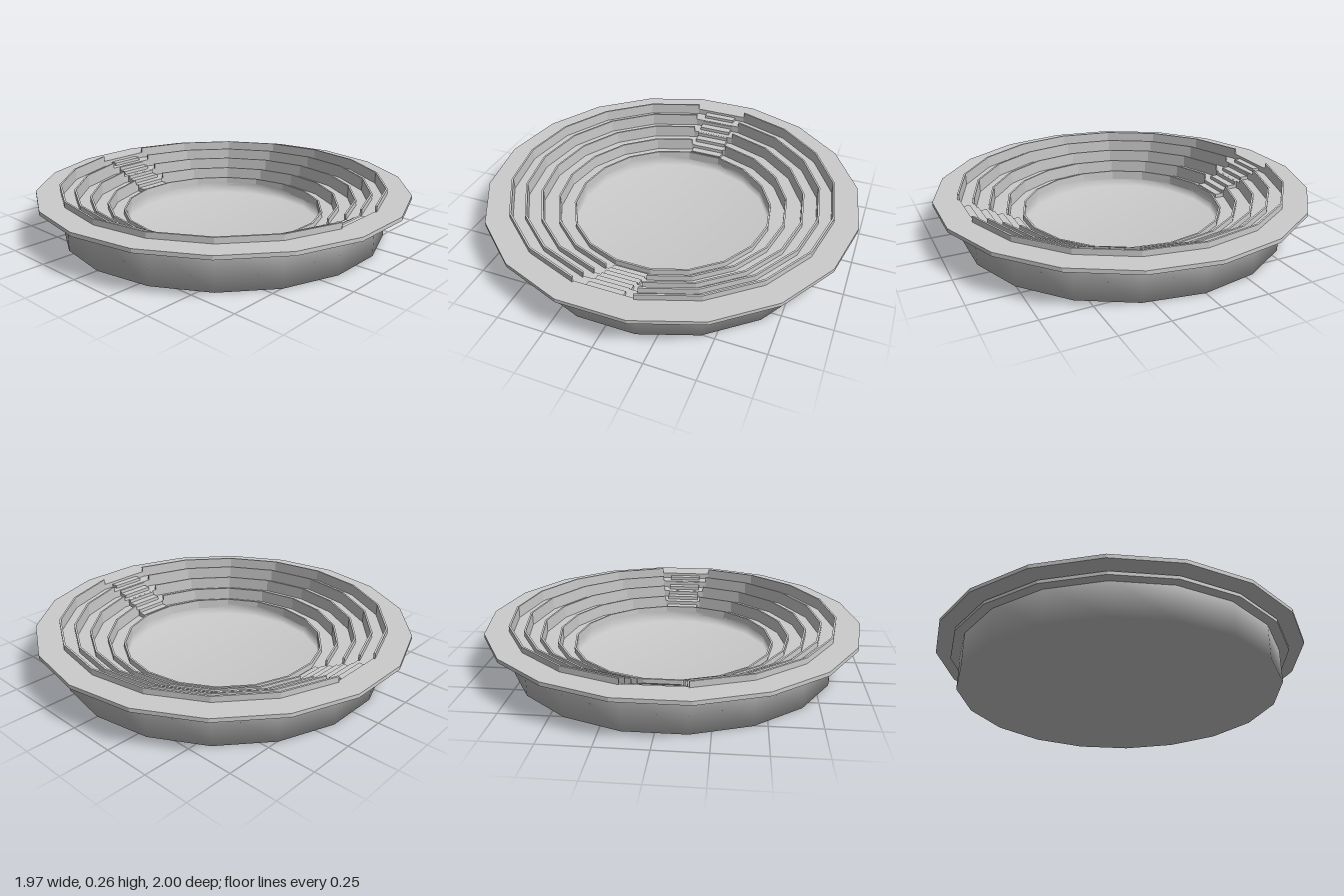
import * as THREE from 'three';

const SIDES = 18;
const STEP = (Math.PI * 2) / SIDES;
const grey = new THREE.MeshStandardMaterial({ color: 0xcccccc, side: THREE.DoubleSide });

// Points on an 18-sided circle; vertex 0 lies on the z axis
function arc(r, first, last) {
  const pts = [];
  const dir = Math.sign(last - first);
  for (let i = first; i !== last + dir; i += dir) {
    pts.push(new THREE.Vector2(r * Math.sin(i * STEP), r * Math.cos(i * STEP)));
  }
  return pts;
}

function extrudeUp(shape, y0, y1) {
  const geo = new THREE.ExtrudeGeometry(shape, { depth: y1 - y0, bevelEnabled: false });
  return geo.rotateX(-Math.PI / 2).translate(0, y0, 0);
}

// Full flat-sided ring
function ring(rIn, rOut, y0, y1) {
  const shape = new THREE.Shape(arc(rOut, 0, SIDES - 1));
  shape.holes.push(new THREE.Path(arc(rIn, 0, SIDES - 1)));
  return extrudeUp(shape, y0, y1);
}

// Part of a ring between two of its corners
function ringPart(rIn, rOut, y0, y1, first, last) {
  const shape = new THREE.Shape([...arc(rOut, first, last), ...arc(rIn, last, first)]);
  return extrudeUp(shape, y0, y1);
}

export function createModel() {
  const model = new THREE.Group();
  const add = (name, geo, parent = model) => {
    const mesh = new THREE.Mesh(geo, grey);
    mesh.name = name;
    parent.add(mesh);
    return mesh;
  };
  const lathe = (pts) => new THREE.LatheGeometry(pts.map((p) => new THREE.Vector2(...p)), SIDES);

  // Smooth outer shell and sunken arena floor
  add('outerShell', lathe([[0, 0], [0.87, 0], [0.87, 0.2]]));
  add('arenaFloor', lathe([[0.535, 0.075], [0.535, 0.01], [0, 0.01]]));

  // Terraces, from the rim inward: inner radius, outer radius, underside, top
  const tiers = [
    [0.865, 1.0, 0.21, 0.23],
    [0.79, 0.92, 0.18, 0.198],
    [0.71, 0.81, 0.115, 0.157],
    [0.62, 0.73, 0.075, 0.117],
    [0.535, 0.64, 0.055, 0.077],
  ];
  add('rimRiser', ring(0.865, 0.875, 0.195, 0.215));
  add('upperRiser', ring(0.79, 0.8, 0.15, 0.185));

  const railHeight = 0.03;
  const railWidth = 0.01;
  tiers.forEach(([rIn, rOut, y0, y1], i) => {
    const tier = new THREE.Group();
    tier.name = 'tier' + (i + 1);
    model.add(tier);
    add('terrace', ring(rIn, rOut, y0, y1), tier);

    // Parapets leave the two side facets open for the stairs
    const top = y1 + railHeight;
    if (i < tiers.length - 1) {
      add('frontParapet', ringPart(rIn, rIn + railWidth, y1, top, 5, 13), tier);
      add('backParapet', ringPart(rIn, rIn + railWidth, y1, top, -4, 4), tier);
    } else {
      add('arenaParapet', ring(rIn, rIn + railWidth, y1, top), tier);
    }
  });

  // Stairs down both sides
  const steps = 7;
  const xTop = 0.855, xEnd = 0.56;
  const run = (xTop - xEnd) / steps;
  for (const side of [1, -1]) {
    const stair = new THREE.Group();
    stair.name = side > 0 ? 'leftStair' : 'rightStair';
    model.add(stair);
    for (let i = 0; i < steps; i++) {
      const y = 0.215 - i * 0.0195;
      const geo = new THREE.BoxGeometry(run, 0.04, 0.186);
      geo.translate(side * (xTop - run * (i + 0.5)), y - 0.02, 0);
      add('step', geo, stair);
    }
  }
  return model;
}
